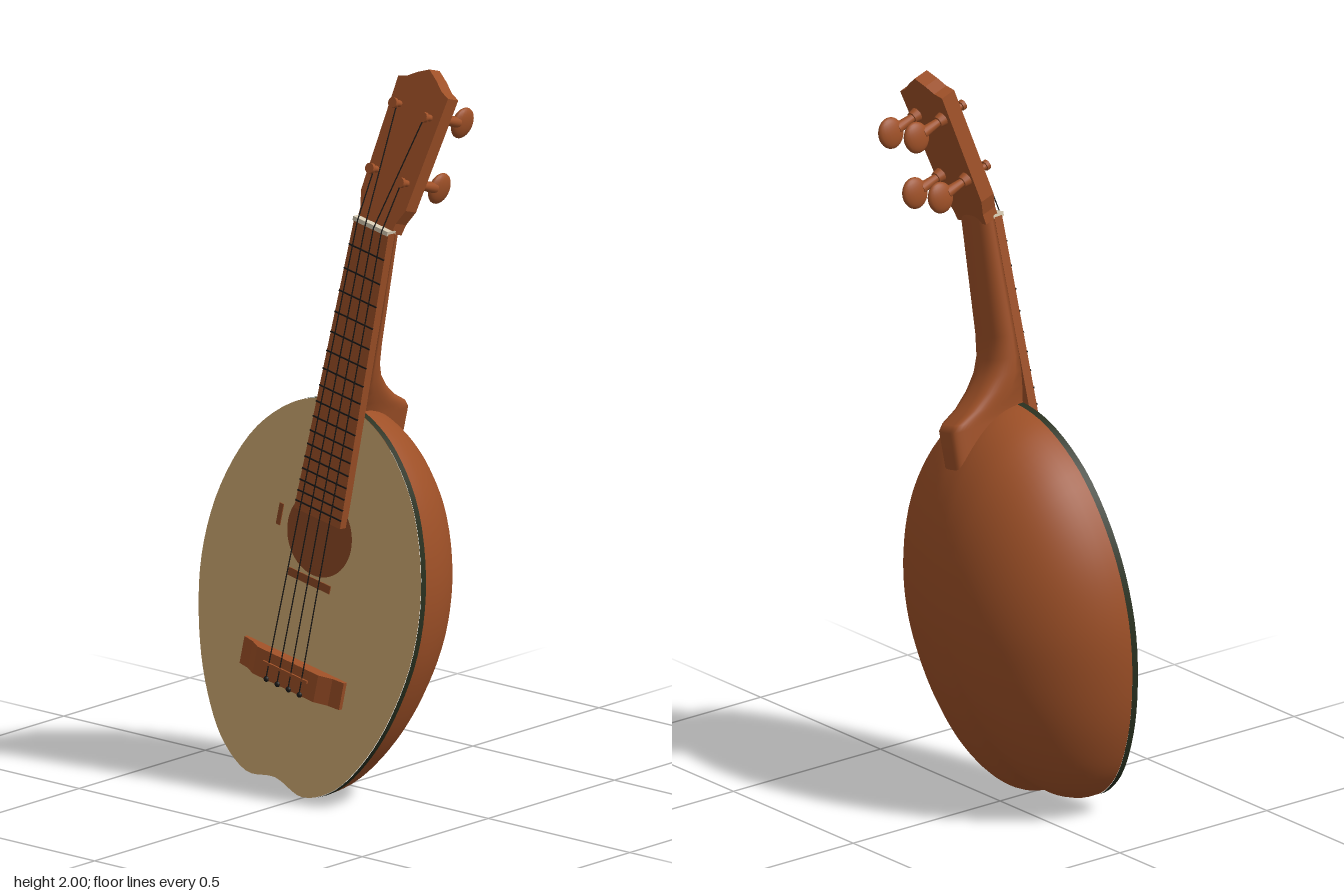
import * as THREE from 'three';

const mat = (name, color, side = THREE.FrontSide) => {
  const m = new THREE.MeshStandardMaterial({ color, side });
  m.name = name;
  return m;
};

// Skin a list of closed rings, counter-clockwise as seen from the far end
function loft(rings) {
  const n = rings[0].length, pos = [], idx = [];
  rings.forEach(r => r.forEach(p => pos.push(p.x, p.y, p.z)));
  for (let i = 0; i < rings.length - 1; i++) {
    for (let j = 0; j < n; j++) {
      const a = i * n + j, b = i * n + (j + 1) % n;
      idx.push(a, b, b + n, a, b + n, a + n);
    }
  }
  const g = new THREE.BufferGeometry();
  g.setAttribute('position', new THREE.Float32BufferAttribute(pos, 3));
  g.setIndex(idx);
  g.computeVertexNormals();
  return g;
}

export function createModel() {
  const wood = mat('redBrownWood', 0x9e5027);
  const tan = mat('paleSoundboard', 0xd3ac74);
  const hole = mat('soundHoleBrown', 0x8e4a25);
  const dark = mat('darkBinding', 0x29301f);
  const black = mat('blackString', 0x1c1a18);
  const cream = mat('creamNut', 0xd8ccb4);

  const model = new THREE.Group();
  model.name = 'ukulele';
  // Leaning sideways and slightly backwards; origin is the sound hole
  const uke = new THREE.Group();
  uke.name = 'leaningInstrument';
  uke.position.set(0.025, 0.715, 0.133);
  uke.rotation.set(-0.065, 0, -0.175);
  model.add(uke);

  const add = (name, geo, material, x = 0, y = 0, z = 0, parent = uke) => {
    const m = new THREE.Mesh(geo, material);
    m.name = name;
    m.position.set(x, y, z);
    parent.add(m);
    return m;
  };
  const box = (w, h, d) => new THREE.BoxGeometry(w, h, d);

  // Body outline: right half mirrored, with a small dent at the bottom
  const half = [[0.1, -0.709], [0.2, -0.655], [0.285, -0.54], [0.347, -0.39], [0.383, -0.2],
    [0.365, 0], [0.285, 0.195], [0.17, 0.315], [0.07, 0.362]];
  const pts = [[0, -0.69], ...half, [0, 0.37], ...half.slice().reverse().map(([x, y]) => [-x, y])];
  const outline = new THREE.CatmullRomCurve3(pts.map(([x, y]) => new THREE.Vector3(x, y, 0)), true)
    .getPoints(96).slice(0, -1);

  // Rounded bowl back
  const cy = -0.16, bowl = [];
  for (let i = 0; i <= 24; i++) {
    const t = (1 - i / 24) * Math.PI / 2;
    const s = Math.max(Math.cos(t), 0.0005);
    bowl.push(outline.map(p =>
      new THREE.Vector3(p.x * s, cy + (p.y - cy) * s, -0.018 - 0.326 * Math.sin(t))));
  }
  add('bowlBack', loft(bowl), wood);

  // Binding and soundboard
  const rimRing = z => outline.map(p => new THREE.Vector3(p.x * 1.003, p.y * 1.002, z));
  add('edgeBinding', loft([rimRing(-0.019), rimRing(0)]), dark);
  add('soundboard', new THREE.ShapeGeometry(new THREE.Shape(outline.map(p => new THREE.Vector2(p.x, p.y)))), tan);
  add('soundHole', new THREE.CircleGeometry(0.114, 48), hole, 0, 0, 0.003);
  add('lowerInlay', box(0.15, 0.022, 0.004), hole, -0.007, -0.133, 0.001);
  add('sideInlay', box(0.014, 0.06, 0.004), hole, -0.146, 0.005, 0.001);

  // Neck flowing into a deep heel: [along, half width, depth, squareness]
  const sections = [[0.235, 0.048, 0.23, 0.4], [0.345, 0.049, 0.23, 0.4], [0.362, 0.05, 0.215, 0.42],
    [0.385, 0.054, 0.168, 0.5], [0.42, 0.062, 0.122, 0.62], [0.46, 0.068, 0.085, 0.75],
    [0.5, 0.07, 0.064, 0.8], [0.56, 0.07, 0.053, 0.8], [0.88, 0.061, 0.037, 0.8], [0.915, 0.06, 0.03, 0.8]];
  const ring = ([y, w, d, p]) => Array.from({ length: 25 }, (_, i) => {
    const c = Math.cos(i / 24 * Math.PI), s = Math.max(0, Math.sin(i / 24 * Math.PI));
    return new THREE.Vector3(w * Math.sign(c) * Math.abs(c) ** p, y, -d * s ** p);
  });
  const rings = sections.map(ring);
  const cap = rings[0].map(() => new THREE.Vector3(0, 0.235, -0.1));
  add('neckAndHeel', loft([cap, rings[0], ...rings]), wood);

  // Tapered fingerboard
  const boardHalf = y => THREE.MathUtils.mapLinear(y, 0.05, 0.88, 0.083, 0.062);
  const board = new THREE.Shape([[-0.083, 0.05], [0.083, 0.05], [0.062, 0.88], [-0.062, 0.88]]
    .map(p => new THREE.Vector2(...p)));
  add('fingerboard', new THREE.ExtrudeGeometry(board, { depth: 0.026, bevelEnabled: false }), wood);
  for (let i = 1; i <= 17; i++) {
    const y = 0.88 - 1.29 * (1 - 2 ** (-i / 12));
    add('fret', box(boardHalf(y) * 2, 0.004, 0.004), black, 0, y, 0.0265);
  }
  add('nut', box(0.124, 0.012, 0.034), cream, 0, 0.882, 0.015);

  // Headstock, tilted back
  const head = new THREE.Group();
  head.name = 'headstock';
  head.position.set(0, 0.88, 0.014);
  head.rotation.x = -0.245;
  uke.add(head);
  const side = [[0.061, 0], [0.064, 0.03], [0.081, 0.072], [0.09, 0.392], [0.062, 0.402], [0.035, 0.422]];
  const headShape = new THREE.Shape([...side, [0, 0.442], ...side.slice().reverse().map(([x, y]) => [-x, y])]
    .map(p => new THREE.Vector2(...p)));
  add('headPlate', new THREE.ExtrudeGeometry(headShape, { depth: 0.045, bevelEnabled: false }),
    wood, 0, 0, -0.045, head);

  // Tuning pegs: post in front, collar, shaft and flat button behind
  const rod = (r1, r2, h) => new THREE.CylinderGeometry(r1, r2, h, 16).rotateX(Math.PI / 2);
  for (const x of [-0.055, 0.055]) {
    for (const y of [0.14, 0.325]) {
      const peg = new THREE.Group();
      peg.name = 'tuningPeg';
      peg.position.set(x, y, 0);
      head.add(peg);
      add('post', rod(0.009, 0.009, 0.03), wood, 0, 0, 0.013, peg);
      add('postTop', rod(0.014, 0.014, 0.011), wood, 0, 0, 0.027, peg);
      add('collar', rod(0.02, 0.016, 0.02), wood, 0, 0, -0.054, peg);
      add('shaft', rod(0.01, 0.016, 0.07), wood, 0, 0, -0.085, peg);
      const button = add('button', new THREE.SphereGeometry(1, 20, 14), wood, 0, 0, -0.142, peg);
      button.scale.set(0.016, 0.043, 0.04);
    }
  }

  // Bridge with sloped ends, saddle and pins
  const bridge = new THREE.Shape([[-0.18, 0], [0.18, 0], [0.18, 0.012], [0.145, 0.018], [0.11, 0.037],
    [-0.11, 0.037], [-0.145, 0.018], [-0.18, 0.012]].map(p => new THREE.Vector2(...p)));
  const bridgeGeo = new THREE.ExtrudeGeometry(bridge, { depth: 0.076, bevelEnabled: false });
  add('bridge', bridgeGeo.rotateX(Math.PI / 2), wood, 0, -0.354, 0).scale.z = 1;
  bridgeGeo.scale(-1, 1, -1).rotateZ(Math.PI).rotateX(Math.PI); // face the raised side outwards
  orientBridge(bridgeGeo);
  add('saddle', box(0.16, 0.008, 0.008), wood, 0, -0.385, 0.039);

  // Strings run from the bridge over the nut to the posts
  head.updateMatrix();
  const string = (a, b) => {
    const d = b.clone().sub(a);
    const m = add('string', new THREE.CylinderGeometry(0.0017, 0.0017, d.length(), 6), black);
    m.position.copy(a).addScaledVector(d, 0.5);
    m.quaternion.setFromUnitVectors(new THREE.Vector3(0, 1, 0), d.normalize());
  };
  [-1.5, -0.5, 0.5, 1.5].forEach(k => {
    const low = new THREE.Vector3(k * 0.04, -0.425, 0.04);
    const mid = new THREE.Vector3(k * 0.029, 0.882, 0.034);
    const post = new THREE.Vector3(Math.sign(k) * 0.05, Math.abs(k) > 1 ? 0.14 : 0.325, 0.018)
      .applyMatrix4(head.matrix);
    string(low, mid);
    string(mid, post);
    add('bridgePin', new THREE.SphereGeometry(0.008, 10, 8), black, k * 0.04, -0.427, 0.037);
  });
  return model;
}

// Put the bridge section's height along +z and its length along -y
function orientBridge(g) {
  g.computeBoundingBox();
  const b = g.boundingBox;
  g.translate(0, -b.max.y, -b.min.z);
}
